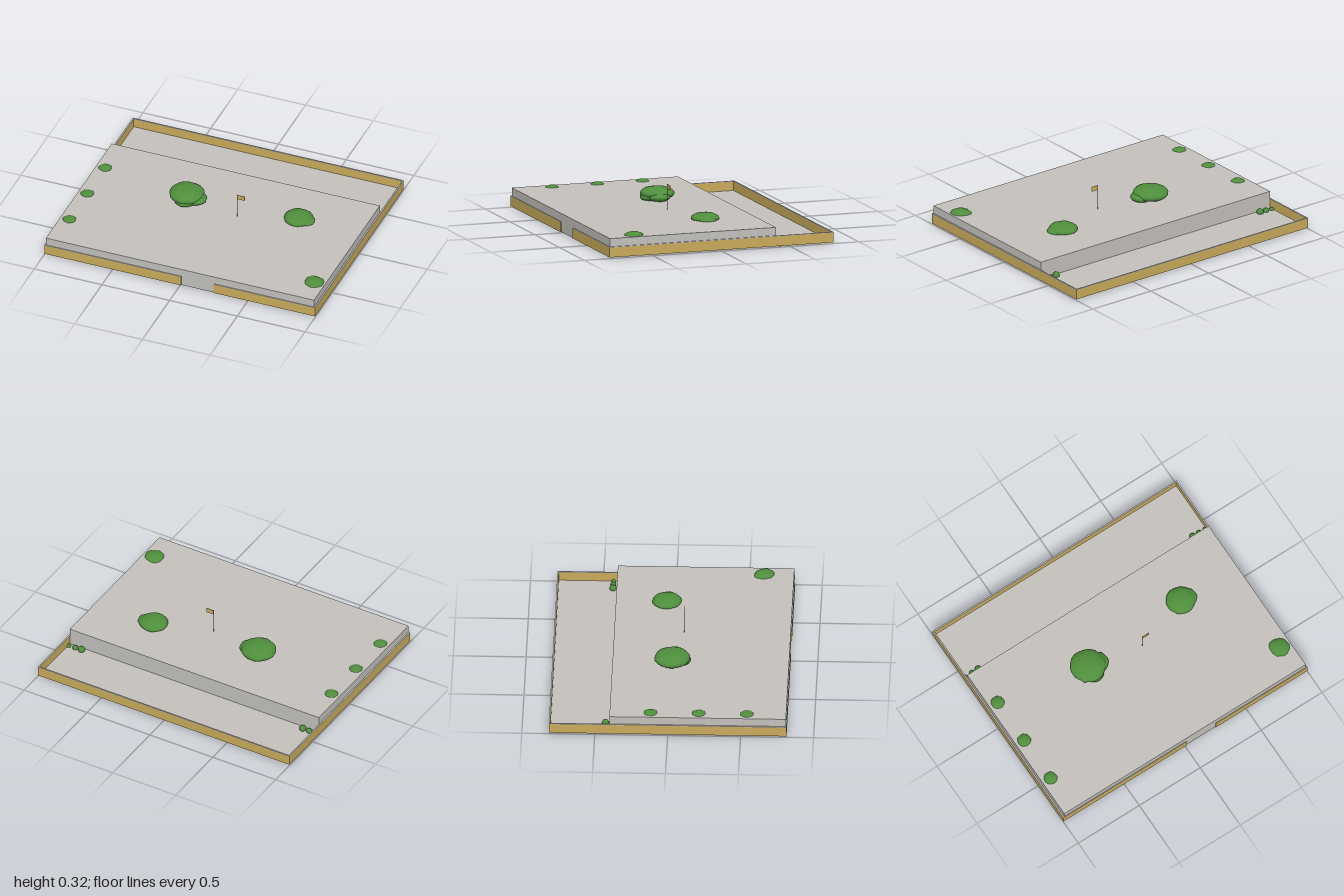
import * as THREE from 'three';
import { mergeVertices } from 'three/addons/utils/BufferGeometryUtils.js';

const material = (name, color) => {
  const m = new THREE.MeshStandardMaterial({ color });
  m.name = name;
  return m;
};

export function createModel() {
  const model = new THREE.Group();
  const stone = material('pale stone', 0xc4c1bc);
  const ochre = material('ochre', 0xc9ab5a);
  const leaf = material('leaf green', 0x4f8f3c);
  const iron = material('dark iron', 0x55565a);

  // Box given by its lower and upper limits
  function box(name, mat, [x0, x1], [y0, y1], [z0, z1], parent = model) {
    const mesh = new THREE.Mesh(new THREE.BoxGeometry(x1 - x0, y1 - y0, z1 - z0), mat);
    mesh.position.set((x0 + x1) / 2, (y0 + y1) / 2, (z0 + z1) / 2);
    mesh.name = name;
    parent.add(mesh);
    return mesh;
  }

  // Ground slab and the raised terrace
  box('floor', stone, [-0.99, 0.99], [0.008, 0.014], [-0.805, 0.805]);
  box('terrace', stone, [-0.99, 0.99], [0.0085, 0.138], [-0.4, 0.81]);

  // Boundary walls with a thin coping; the front wall leaves a gateway
  const walls = [
    ['leftWall', [0.99, 1], [-0.815, 0.815]],
    ['rightWall', [-1, -0.99], [-0.815, 0.815]],
    ['backWall', [-0.99, 0.99], [-0.815, -0.805]],
    ['frontWallLeft', [0.25, 0.99], [0.805, 0.815]],
    ['frontWallRight', [-0.99, 0.01], [0.805, 0.815]],
  ];
  for (const [name, xs, zs] of walls) {
    const wall = new THREE.Group();
    wall.name = name;
    box('wallBody', ochre, xs, [0.008, 0.076], zs, wall);
    box('wallCoping', stone, xs, [0.076, 0.081], zs, wall);
    model.add(wall);
  }

  // Slightly lumpy, smooth leaf ball
  const lump = new THREE.IcosahedronGeometry(1, 3);
  lump.deleteAttribute('normal');
  lump.deleteAttribute('uv');
  const ball = mergeVertices(lump, 1e-3);
  const p = ball.attributes.position;
  for (let i = 0; i < p.count; i++) {
    const x = p.getX(i), y = p.getY(i), z = p.getZ(i);
    const s = 1 + 0.025 * Math.sin(5 * x + 2 * y) * Math.cos(5 * z + 1) + 0.015 * Math.sin(9 * z + 7 * x);
    p.setXYZ(i, x * s, y * s, z * s);
  }
  ball.computeVertexNormals();

  // A bush is a set of leaf balls: [x, y, z, radius, half height]
  function bush(name, lumps) {
    const group = new THREE.Group();
    group.name = name;
    for (const [x, y, z, r, h] of lumps) {
      const mesh = new THREE.Mesh(ball, leaf);
      mesh.name = 'leafBall';
      mesh.position.set(x, y, z);
      mesh.scale.set(r, h, r);
      group.add(mesh);
    }
    model.add(group);
  }
  bush('largeBush', [
    [-0.27, 0.18, 0.01, 0.122, 0.047],
    [-0.2, 0.165, 0.02, 0.077, 0.033],
    [-0.26, 0.16, 0.063, 0.075, 0.03],
  ]);
  bush('mediumBush', [
    [0.53, 0.145, -0.05, 0.1, 0.038],
    [0.58, 0.138, -0.045, 0.068, 0.028],
  ]);
  bush('cornerBush', [
    [0.912, 0.118, 0.608, 0.075, 0.044],
    [0.895, 0.118, 0.585, 0.06, 0.036],
  ]);
  for (const z of [-0.12, 0.21, 0.54]) bush('edgeBush', [[-0.925, 0.119, z, 0.056, 0.034]]);

  // Rows of small round shrubs behind the terrace
  for (const side of [-1, 1]) {
    for (const [x, r] of [[0.98, 0.016], [0.93, 0.02], [0.88, 0.024]]) {
      bush('smallShrub', [[side * x, r, -0.43, r, r]]);
    }
  }

  // Flag on a thin pole
  const pole = new THREE.Mesh(new THREE.CylinderGeometry(0.002, 0.002, 0.18, 8), iron);
  pole.name = 'flagPole';
  pole.position.set(0.13, 0.228, 0.08);
  model.add(pole);
  box('flag', ochre, [0.13, 0.185], [0.282, 0.316], [0.0785, 0.0815]);

  return model;
}
